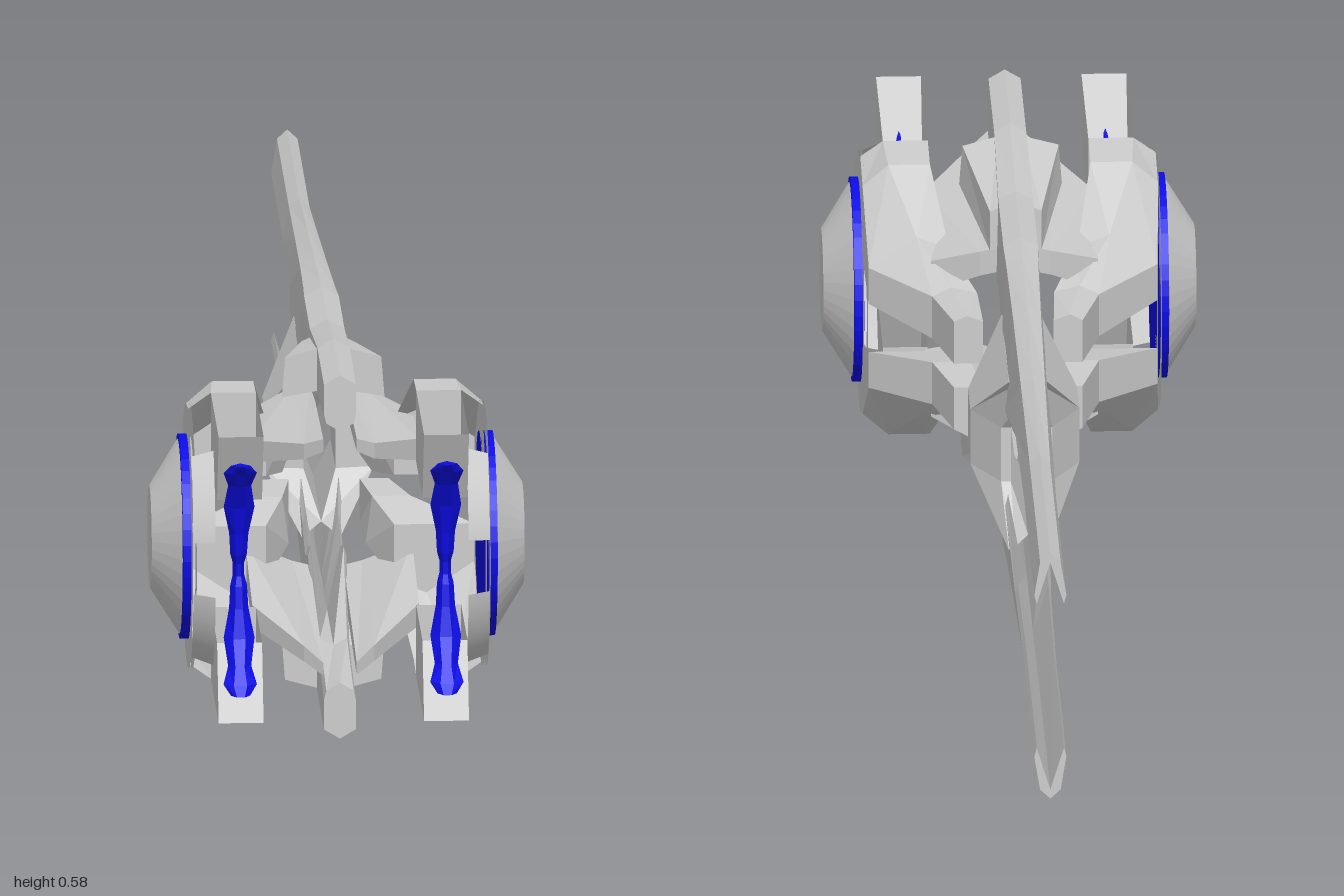
import * as THREE from 'three';

const MID = 0.295; // height of the horizontal symmetry plane
const grey = new THREE.MeshStandardMaterial({ color: 0xcccccc, flatShading: true, side: THREE.DoubleSide });
grey.name = 'hull grey';
const blue = new THREE.MeshStandardMaterial({ color: 0x0c0ce6, flatShading: true });
blue.name = 'glow blue';

// Skins a row of equal-length cross-sections; winding is fixed by signed volume.
// skip: indices of the section edges that stay open; caps: close start and end.
function loft(sections, sx = 1, sy = 1, { skip = [], caps = true } = {}) {
  const S = sections.map(s => s.map(([x, y, z]) => new THREE.Vector3(x * sx, y * sy + MID, z)));
  const n = S[0].length, faces = [];
  for (let i = 0; i + 1 < S.length; i++) {
    for (let j = 0; j < n; j++) {
      const k = (j + 1) % n, open = skip.includes(j);
      faces.push({ t: [S[i][j], S[i][k], S[i + 1][k]], open }, { t: [S[i][j], S[i + 1][k], S[i + 1][j]], open });
    }
  }
  const e = S[S.length - 1];
  for (let j = 1; j < n - 1; j++) {
    faces.push({ t: [S[0][0], S[0][j + 1], S[0][j]], open: !caps }, { t: [e[0], e[j], e[j + 1]], open: !caps });
  }
  const cross = new THREE.Vector3();
  const volume = faces.reduce((v, { t }) => v + t[0].dot(cross.crossVectors(t[1], t[2])), 0);
  const points = faces.filter(f => !f.open).flatMap(({ t }) => (volume < 0 ? [t[0], t[2], t[1]] : t));
  const g = new THREE.BufferGeometry().setFromPoints(points);
  g.computeVertexNormals();
  return g;
}

const atZ = (z, pts) => pts.map(([x, y]) => [x, y, z]);

// Long grooved spine: z, half width below, half width above, top, bottom edge, groove
const spine = [
  [0.85, 0.025, 0.025, 0.292, 0.215, 0.202], [0.62, 0.025, 0.025, 0.292, 0.19, 0.202],
  [0.4, 0.03, 0.027, 0.265, 0.1, 0.202], [0.3, 0.03, 0.027, 0.265, 0.125, 0.202],
  [0.2, 0.03, 0.027, 0.265, 0.1, 0.202], [0.13, 0.035, 0.025, 0.26, 0.05, 0.202],
  [-0.05, 0.035, 0.022, 0.247, 0.06, 0.202], [-0.3, 0.028, 0.019, 0.227, 0.12, 0.2],
  [-0.58, 0.025, 0.016, 0.205, 0.12, 0.193], [-1, 0.025, 0.016, 0.205, 0.12, 0.19],
].map(([z, w, u, top, bot, groove]) => {
  const flank = [[w * 0.85, bot], [w, bot + 0.015], [u, top - 0.015]];
  return atZ(z, [[0, groove], ...flank, [0, top], ...flank.map(([x, y]) => [-x, y]).reverse()]);
});

// Shoulder block beside the spine
const shoulder = [
  atZ(0.61, [[0.02, 0.274], [0.075, 0.259], [0.08, 0.195], [0.025, 0.205]]),
  atZ(0.4, [[0.02, 0.24], [0.04, 0.23], [0.04, 0.165], [0.025, 0.17]]),
];

// Strut from spine to pod: x, front z, front top, front bottom, rear z, rear bottom, rear top
const strut = [
  [0.026, 0.85, 0.19, 0.17, 0.4, 0.13, 0.17],
  [0.055, 0.82, 0.175, 0.15, 0.41, 0.12, 0.16],
  [0.13, 0.7, 0.15, 0.115, 0.45, 0.08, 0.13],
].map(([x, zf, ft, fb, zr, rb, rt]) => [[x, ft, zf], [x, fb, zf], [x, rb, zr], [x, rt, zr]]);

// Pod half: an open shell in front, tapering back into a prong
const pod = [
  atZ(0.71, [[0.125, 0.115], [0.125, 0.23], [0.195, 0.23], [0.23, 0.205], [0.23, 0.1]]),
  atZ(0.62, [[0.125, 0.1], [0.125, 0.225], [0.19, 0.225], [0.23, 0.19], [0.23, 0.07]]),
  atZ(0.5, [[0.1, 0.04], [0.1, 0.13], [0.15, 0.15], [0.225, 0.1], [0.225, 0.04]]),
  atZ(0.4, [[0.07, 0.02], [0.06, 0.095], [0.1, 0.105], [0.13, 0.09], [0.13, 0.02]]),
  atZ(0.29, [[0.055, 0.02], [0.055, 0.09], [0.08, 0.1], [0.1, 0.09], [0.1, 0.02]]),
];

// Forward arm with a slanted nose, open above and below
const arm = [
  [[0.125, 0.115, 0.71], [0.125, 0.23, 0.71], [0.195, 0.23, 0.71], [0.195, 0.115, 0.71]],
  [[0.125, 0.115, 0.93], [0.125, 0.23, 0.985], [0.195, 0.23, 0.985], [0.195, 0.115, 0.93]],
];

// Cheek plate joining the two spines, its ends meeting on the centre line
const cheekEnd = s => [[0, 0.115, 0.19], [0.03, 0.14, 0.19], [0.03, 0.14, -0.1], [0.02, 0.135, -0.1], [0, 0.115, -0.1]]
  .map(([x, y, z]) => [x, y * s, z]);
const cheekMid = y => [[0.025, 0.13], [0.085, 0.12], [0.085, 0.03], [0.04, -0.05], [0.025, -0.05]]
  .map(([x, z]) => [x, y, z]);
const cheek = [cheekEnd(-1), cheekMid(-0.045), cheekMid(0.045), cheekEnd(1)];

// Curved emitter bar: height, half width, front z
const half = [
  [0.01, 0.009, 0.925], [0.025, 0.013, 0.93], [0.06, 0.015, 0.935], [0.105, 0.024, 0.947],
  [0.145, 0.018, 0.968], [0.17, 0.026, 0.987], [0.185, 0.015, 1],
];
const emitter = [...half.map(([y, w, z]) => [-y, w, z]).reverse(), ...half]
  .map(([y, w, z]) => [
    [0.161 - w, y, z - 0.012], [0.161 - w * 0.4, y, z], [0.161 + w * 0.4, y, z],
    [0.161 + w, y, z - 0.012], [0.161, y, z - 0.026],
  ]);

export function createModel() {
  const model = new THREE.Group();
  const add = (name, geometry, material = grey, parent = model) => {
    const m = new THREE.Mesh(geometry, material);
    m.name = name;
    parent.add(m);
  };

  for (const sy of [1, -1]) {
    const level = sy > 0 ? 'upper' : 'lower';
    add(level + 'Spine', loft(spine, 1, sy));
    for (const sx of [1, -1]) {
      const name = level + (sx > 0 ? 'Left' : 'Right');
      add(name + 'Shoulder', loft(shoulder, sx, sy));
      add(name + 'Strut', loft(strut, sx, sy));
      add(name + 'PodShell', loft(pod.slice(0, 3), sx, sy, { skip: [0, 4], caps: false }));
      add(name + 'Prong', loft(pod.slice(2), sx, sy));
      add(name + 'Arm', loft(arm, sx, sy, { skip: [1, 3] }));
    }
  }

  for (const sx of [1, -1]) {
    const side = sx > 0 ? 'left' : 'right';
    add(side + 'Cheek', loft(cheek, sx));
    add(side + 'Emitter', loft(emitter, sx), blue);

    // Round nacelle, built facing +x and turned about for the other side
    const nacelle = new THREE.Group();
    nacelle.name = side + 'Nacelle';
    nacelle.position.set(0, MID, 0.71);
    nacelle.rotation.y = sx > 0 ? 0 : Math.PI;
    model.add(nacelle);
    const out = Math.PI / 2;
    const put = (name, g, x, mat) => add(name, g.translate(x, 0, 0), mat, nacelle);
    const drum = (r1, r2, h, ...arc) => new THREE.CylinderGeometry(r1, r2, h, 40, 1, ...arc).rotateZ(-out);
    put('flange', new THREE.RingGeometry(0.15, 0.207, 40).rotateY(out), 0.232);
    put('glowRing', drum(0.16, 0.16, 0.015), 0.2375, blue);
    put('cap', drum(0.08, 0.152, 0.045), 0.268);
    put('innerFlange', new THREE.RingGeometry(0.158, 0.207, 40).rotateY(-out), 0.226);
    put('innerGlow', new THREE.CircleGeometry(0.16, 40).rotateY(-out), 0.224, blue);
    // flared lips joining the leading edge to the two arms
    for (const start of [0.2, -0.9]) {
      put('rimLip', drum(0.206, 0.22, 0.034, true, (sx > 0 ? 0 : Math.PI) + start, 0.7), 0.214);
    }
  }
  return model;
}
